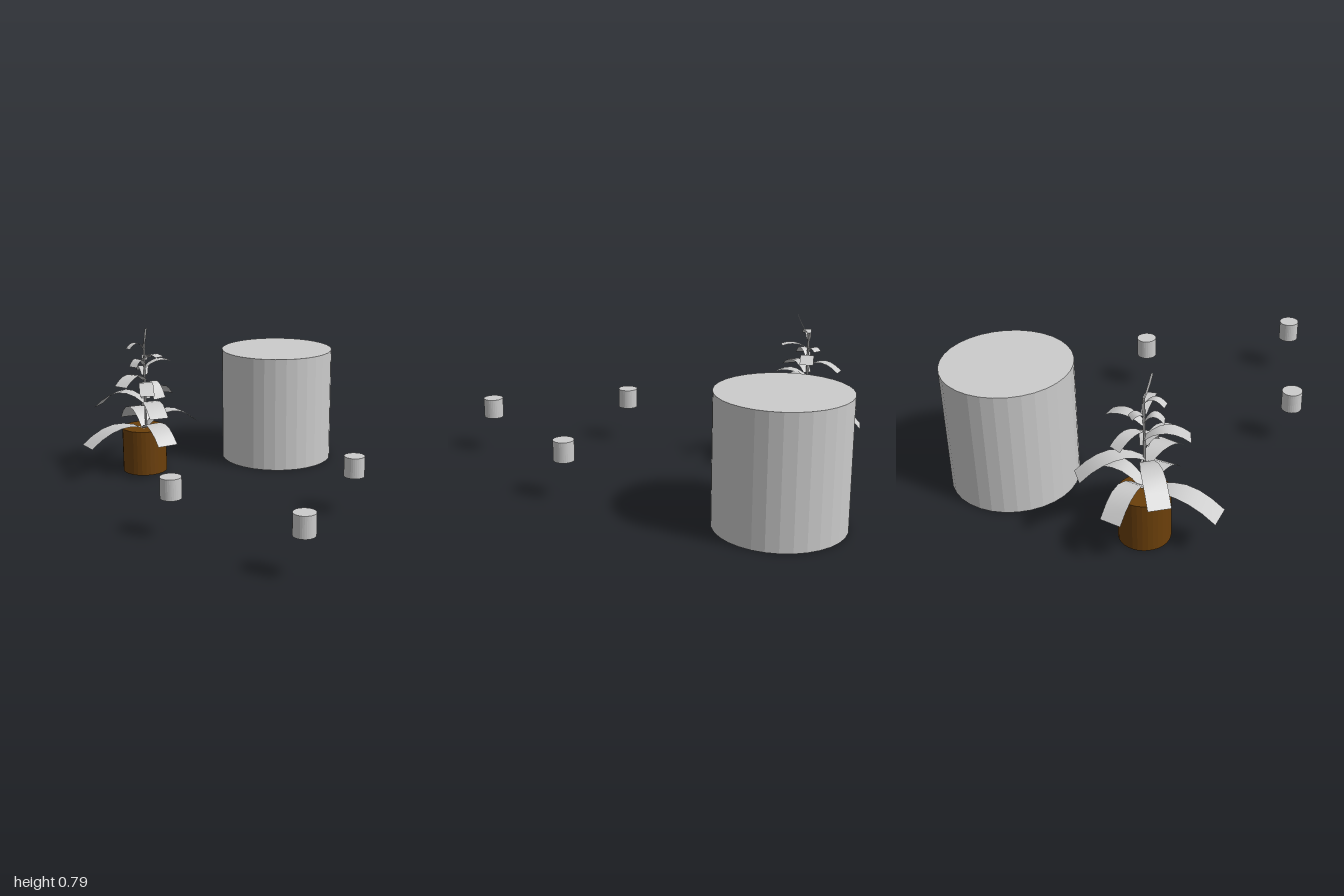
import * as THREE from 'three';

const grey = new THREE.MeshStandardMaterial({ color: 0xcccccc, flatShading: true });
const brown = new THREE.MeshStandardMaterial({ color: 0x6b3f0a, flatShading: true });
const leafMaterial = new THREE.MeshStandardMaterial({ color: 0xcccccc, side: THREE.DoubleSide });

const STEM = { x: -0.362, z: -0.668 };

// Upright cylinder standing on height y
function cylinder(name, radius, height, x, y, z, material = grey) {
  const mesh = new THREE.Mesh(new THREE.CylinderGeometry(radius, radius, height, 32), material);
  mesh.position.set(x, y + height / 2, z);
  mesh.name = name;
  return mesh;
}

// Arching ribbon from the stem to a tip, slightly wider towards the end
function leaf([x, y, z, baseY, archY, width]) {
  const base = new THREE.Vector3(STEM.x, baseY, STEM.z);
  const tip = new THREE.Vector3(x, y, z);
  const middle = base.clone().lerp(tip, 0.48).setY(archY);
  const curve = new THREE.QuadraticBezierCurve3(base, middle, tip);
  const across = new THREE.Vector3(z - STEM.z, 0, STEM.x - x).normalize();
  const segments = 6;
  const positions = [];
  const indices = [];
  for (let i = 0; i <= segments; i++) {
    const t = i / segments;
    const p = curve.getPoint(t);
    const half = (width / 2) * (0.5 + 0.5 * Math.min(1, t * 1.8));
    for (const s of [-half, half]) {
      positions.push(p.x + across.x * s, p.y, p.z + across.z * s);
    }
    if (i < segments) {
      const a = i * 2;
      indices.push(a, a + 1, a + 2, a + 1, a + 3, a + 2);
    }
  }
  const geometry = new THREE.BufferGeometry();
  geometry.setAttribute('position', new THREE.Float32BufferAttribute(positions, 3));
  geometry.setIndex(indices);
  geometry.computeVertexNormals();
  const mesh = new THREE.Mesh(geometry, leafMaterial);
  mesh.name = 'leaf';
  return mesh;
}

export function createModel() {
  const model = new THREE.Group();
  model.name = 'tableSetWithPlant';

  // Large round table
  model.add(cylinder('table', 0.305, 0.615, 0.403, 0, -0.695));

  // Three small floating drums
  for (const [x, z] of [[-0.503, 0.33], [0.402, 0.33], [-0.115, 0.947]]) {
    model.add(cylinder('smallDrum', 0.05, 0.1, x, 0.19, z));
  }

  // Potted plant
  const plant = new THREE.Group();
  plant.name = 'pottedPlant';
  plant.add(cylinder('pot', 0.118, 0.24, -0.368, 0, -0.683, brown));

  const stemPath = new THREE.CatmullRomCurve3([
    new THREE.Vector3(STEM.x, 0.2, STEM.z),
    new THREE.Vector3(STEM.x, 0.5, STEM.z),
    new THREE.Vector3(STEM.x, 0.7, STEM.z),
  ]);
  const stem = new THREE.Mesh(new THREE.TubeGeometry(stemPath, 6, 0.006, 6), grey);
  stem.name = 'stem';
  plant.add(stem);

  // Leaves from the bottom up: tip x, y, z, height on the stem, arch height, width
  const leaves = [
    [-0.7, 0.185, -0.585, 0.23, 0.33, 0.115],
    [-0.39, 0.235, -0.94, 0.24, 0.42, 0.1],
    [-0.08, 0.25, -0.7, 0.25, 0.4, 0.095],
    [-0.31, 0.2, -0.415, 0.24, 0.34, 0.11],
    [-0.58, 0.335, -0.85, 0.38, 0.5, 0.1],
    [-0.19, 0.365, -0.91, 0.4, 0.5, 0.095],
    [-0.35, 0.345, -0.43, 0.36, 0.46, 0.1],
    [-0.4, 0.46, -0.47, 0.47, 0.55, 0.075],
    [-0.31, 0.42, -0.56, 0.46, 0.56, 0.08],
    [-0.52, 0.5, -0.55, 0.5, 0.59, 0.08],
    [-0.335, 0.52, -0.83, 0.53, 0.6, 0.065],
    [-0.19, 0.58, -0.69, 0.57, 0.64, 0.065],
    [-0.435, 0.585, -0.62, 0.58, 0.66, 0.055],
    [-0.31, 0.645, -0.545, 0.62, 0.67, 0.05],
    [-0.33, 0.615, -0.72, 0.61, 0.65, 0.05],
    [-0.455, 0.68, -0.64, 0.67, 0.74, 0.04],
    [-0.363, 0.79, -0.61, 0.69, 0.72, 0.012],
  ];
  leaves.forEach((entry) => plant.add(leaf(entry)));
  model.add(plant);

  return model;
}
